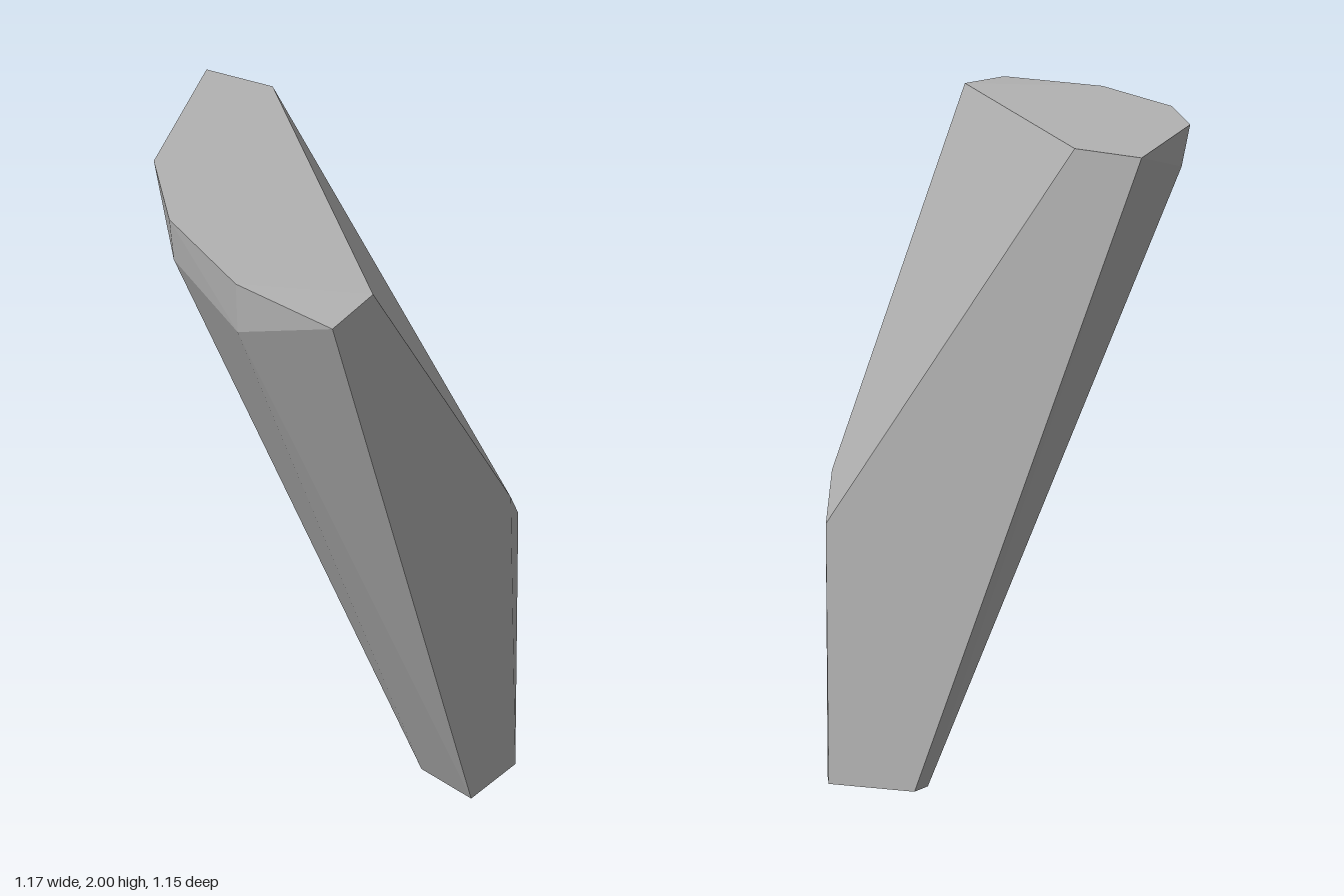
import * as THREE from 'three';
import { ConvexGeometry } from 'three/addons/geometries/ConvexGeometry.js';

export function createModel() {
  const group = new THREE.Group();
  group.name = 'stoneWedge';
  const stone = new THREE.MeshStandardMaterial({ color: 0xb2b2b2, flatShading: true });
  stone.name = 'grey stone';

  // Corner rings of the faceted block, each point as x, y, z
  const topRim = [
    [-0.583, 1.99, -0.575], [-0.41, 2, 0], [-0.18, 2, 0.28], [0.2, 2, 0.51],
    [0.583, 1.99, 0.575], [0.583, 2, 0.345], [-0.35, 2, -0.577],
  ];
  const bevelFoot = [[-0.38, 1.87, 0], [-0.17, 1.86, 0.27], [0.2, 1.83, 0.5]];
  const slopeFoot = [[0.583, 0.93, -0.435], [0.52, 0.79, -0.577]];
  const base = [
    [0.21, 0, -0.577], [0.23, 0, -0.465], [0.36, 0, -0.285],
    [0.583, 0, -0.21], [0.583, 0, -0.46], [0.51, 0, -0.577],
  ];

  // The solid is the hull of these rings
  const corners = [...topRim, ...bevelFoot, ...slopeFoot, ...base]
    .map((p) => new THREE.Vector3(...p));
  const block = new THREE.Mesh(new ConvexGeometry(corners), stone);
  block.name = 'facetedBlock';
  group.add(block);
  return group;
}
